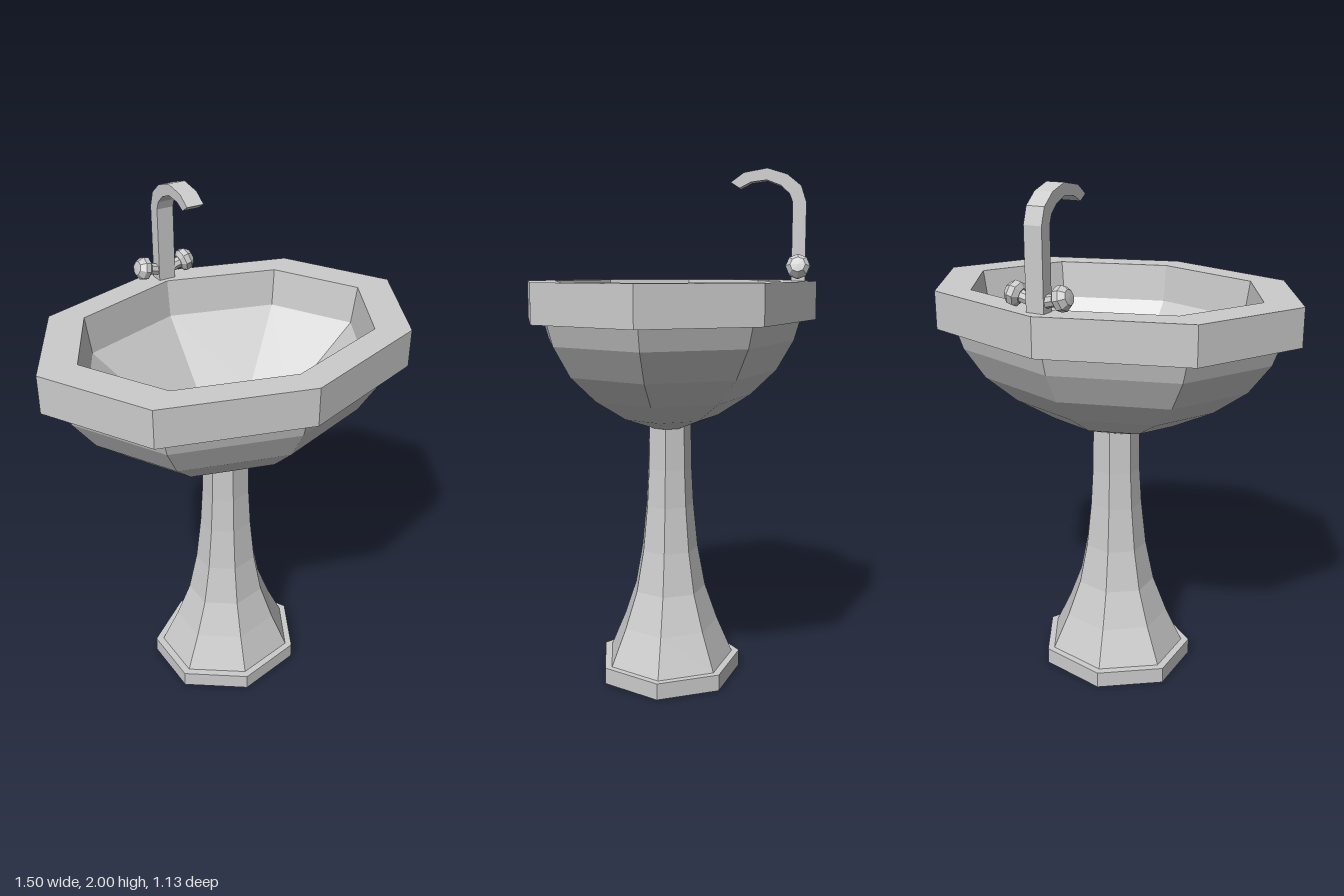
import * as THREE from 'three';

const grey = new THREE.MeshStandardMaterial({ color: 0xcccccc, flatShading: true });

// Faceted solid of revolution with a corner on +x, optionally squashed in z
function turned(name, profile, sides, squash = 1) {
  const points = profile.map(([r, y]) => new THREE.Vector2(r, y));
  const geometry = new THREE.LatheGeometry(points, sides, Math.PI / 2);
  geometry.scale(1, 1, squash);
  const mesh = new THREE.Mesh(geometry, grey);
  mesh.name = name;
  return mesh;
}

export function createModel() {
  const group = new THREE.Group();
  group.name = 'pedestalSink';

  // Seven-sided foot and flared column
  const foot = turned('foot', [[0, 0], [0.318, 0], [0.318, 0.065], [0, 0.065]], 7, 0.91);
  const column = turned('column', [
    [0.288, 0.065], [0.219, 0.21], [0.163, 0.355], [0.129, 0.52],
    [0.109, 0.7], [0.1, 0.85], [0.097, 1.03],
  ], 7, 0.9);
  foot.position.x = -0.01;
  column.position.x = -0.008;
  group.add(foot, column);

  // Eight-sided basin: outer bowl, thick rim, inner walls and floor
  group.add(turned('basin', [
    [0, 1.015], [0.09, 1.015], [0.26, 1.065], [0.425, 1.147], [0.557, 1.245],
    [0.643, 1.36], [0.673, 1.44], [0.75, 1.44], [0.75, 1.585],
    [0.6, 1.585], [0.577, 1.44], [0.287, 1.18], [0.058, 1.105], [0, 1.105],
  ], 8, 0.756));
  group.add(turned('drain', [[0.058, 1.1], [0.058, 1.112], [0, 1.112]], 8, 0.756));

  // Tap: everything is centred on this point of the rim
  const tap = new THREE.Group();
  tap.name = 'tap';
  tap.position.set(0.012, 0, -0.497);
  group.add(tap);

  // Curved spout, side outline given as [z, y] and extruded across x
  const outline = [
    [-0.026, 1.58], [-0.026, 1.875], [-0.006, 1.935], [0.046, 1.977], [0.12, 2],
    [0.207, 1.985], [0.256, 1.95], [0.223, 1.928], [0.18, 1.95],
    [0.122, 1.957], [0.07, 1.937], [0.037, 1.907], [0.025, 1.875], [0.025, 1.58],
  ];
  const shape = new THREE.Shape(outline.map(([z, y]) => new THREE.Vector2(z, y)));
  const spoutGeometry = new THREE.ExtrudeGeometry(shape, { depth: 0.07, bevelEnabled: false });
  spoutGeometry.translate(0, 0, -0.035);
  spoutGeometry.rotateY(-Math.PI / 2);
  const spout = new THREE.Mesh(spoutGeometry, grey);
  spout.name = 'spout';
  tap.add(spout);

  // Tilted handles, each a stem ending in a knob
  for (const side of [-1, 1]) {
    const handle = new THREE.Group();
    handle.name = side > 0 ? 'leftHandle' : 'rightHandle';
    handle.position.set(side * 0.018, 1.62, 0);
    handle.rotation.z = -side * 1.31;
    handle.add(
      turned('stem', [[0, 0], [0.023, 0], [0.023, 0.06], [0, 0.06]], 8),
      turned('knob', [
        [0, 0.05], [0.027, 0.05], [0.045, 0.064], [0.045, 0.086],
        [0.028, 0.106], [0, 0.108],
      ], 8),
    );
    tap.add(handle);
  }
  return group;
}
